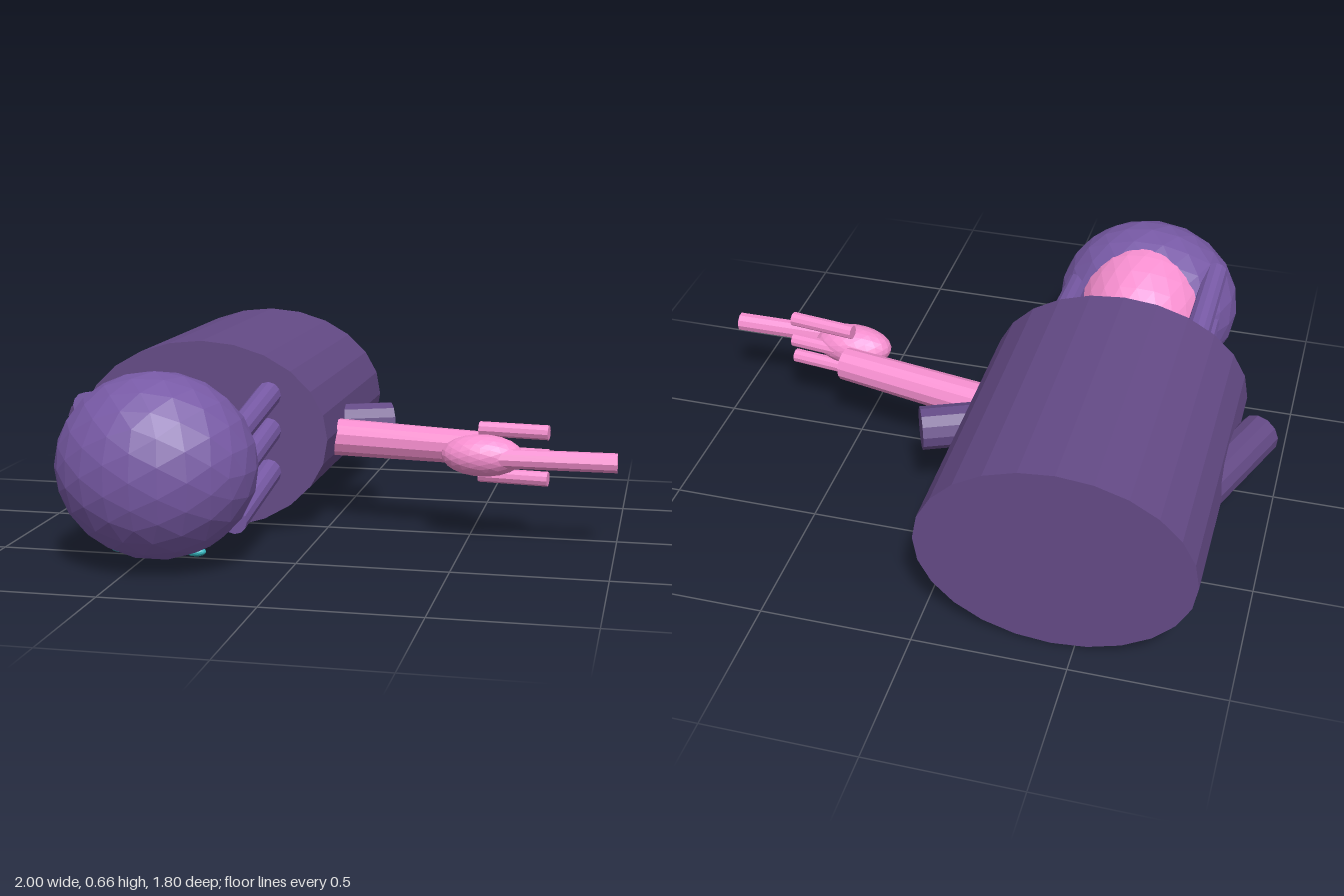
import * as THREE from 'three';

const mat = (color) => new THREE.MeshStandardMaterial({ color, flatShading: true });
const robe = mat(0x644a86);
const hair = mat(0x785aa6);
const skin = mat(0xf78fd0);
const cyan = mat(0x35b8c0);

export function createModel() {
  const model = new THREE.Group();
  model.name = 'lyingFigure';
  const cx = -0.425, cy = 0.335;

  const add = (name, geometry, material, x, y, z) => {
    const mesh = new THREE.Mesh(geometry, material);
    mesh.name = name;
    mesh.position.set(x, y, z);
    model.add(mesh);
    return mesh;
  };
  // Cylinder running from point a to point b
  const rod = (name, a, b, ra, rb, material, sides = 12) => {
    const from = new THREE.Vector3(...a), to = new THREE.Vector3(...b);
    const dir = to.clone().sub(from);
    const mid = from.clone().add(to).multiplyScalar(0.5);
    const mesh = add(name, new THREE.CylinderGeometry(rb, ra, dir.length(), sides), material, mid.x, mid.y, mid.z);
    mesh.quaternion.setFromUnitVectors(new THREE.Vector3(0, 1, 0), dir.normalize());
    return mesh;
  };
  const ball = (name, material, x, y, z, sx, sy, sz, detail = 4) =>
    add(name, new THREE.IcosahedronGeometry(1, detail).scale(sx, sy, sz), material, x, y, z);

  // Oval torso
  add('torso', new THREE.CylinderGeometry(1, 1, 1, 24).rotateX(Math.PI / 2).scale(0.443, 0.33, 1), robe, cx, cy, -0.4);

  // Neck, head and hair
  rod('neck', [cx, cy, 0], [cx, cy, 0.4], 0.135, 0.135, skin, 16);
  ball('head', skin, cx, cy, 0.55, 0.25, 0.28, 0.34);
  ball('hairCap', hair, cx, cy, 0.62, 0.328, 0.302, 0.28, 3);

  // Three locks on each side, one side turned half round from the other
  for (const side of [1, -1]) {
    for (const [y0, y1] of [[0.155, 0.09], [0.03, -0.04], [-0.115, -0.18]]) {
      rod('hairLock',
        [cx + side * 0.235, cy + side * y0, 0.06],
        [cx + side * 0.245, cy + side * y1, 0.59], 0.045, 0.041, hair);
    }
  }

  // Eyes on the downward side
  for (const side of [1, -1]) {
    ball('eye', cyan, cx + side * 0.125, 0.06, 0.62, 0.035, 0.016, 0.022, 2);
  }

  // Sleeves
  rod('leftSleeve', [-0.14, 0.325, -0.215], [0.16, 0.325, -0.345], 0.073, 0.073, robe);
  rod('rightSleeve', [-0.79, 0.335, -0.475], [-0.935, 0.335, -0.095], 0.07, 0.07, robe);

  // Bare left arm and hand
  rod('leftForearm', [-0.15, 0.305, -0.155], [0.54, 0.305, -0.022], 0.068, 0.058, skin);
  ball('leftHand', skin, 0.55, 0.305, 0.1, 0.14, 0.071, 0.078, 3);
  rod('longFinger', [0.56, 0.305, 0.137], [1, 0.305, 0.137], 0.033, 0.033, skin, 10);
  for (const [y, z] of [[0.388, 0.055], [0.23, 0.055], [0.305, 0.045]]) {
    rod('finger', [0.535, y, z], [0.77, y, z + 0.03], 0.025, 0.025, skin, 10);
  }

  return model;
}
